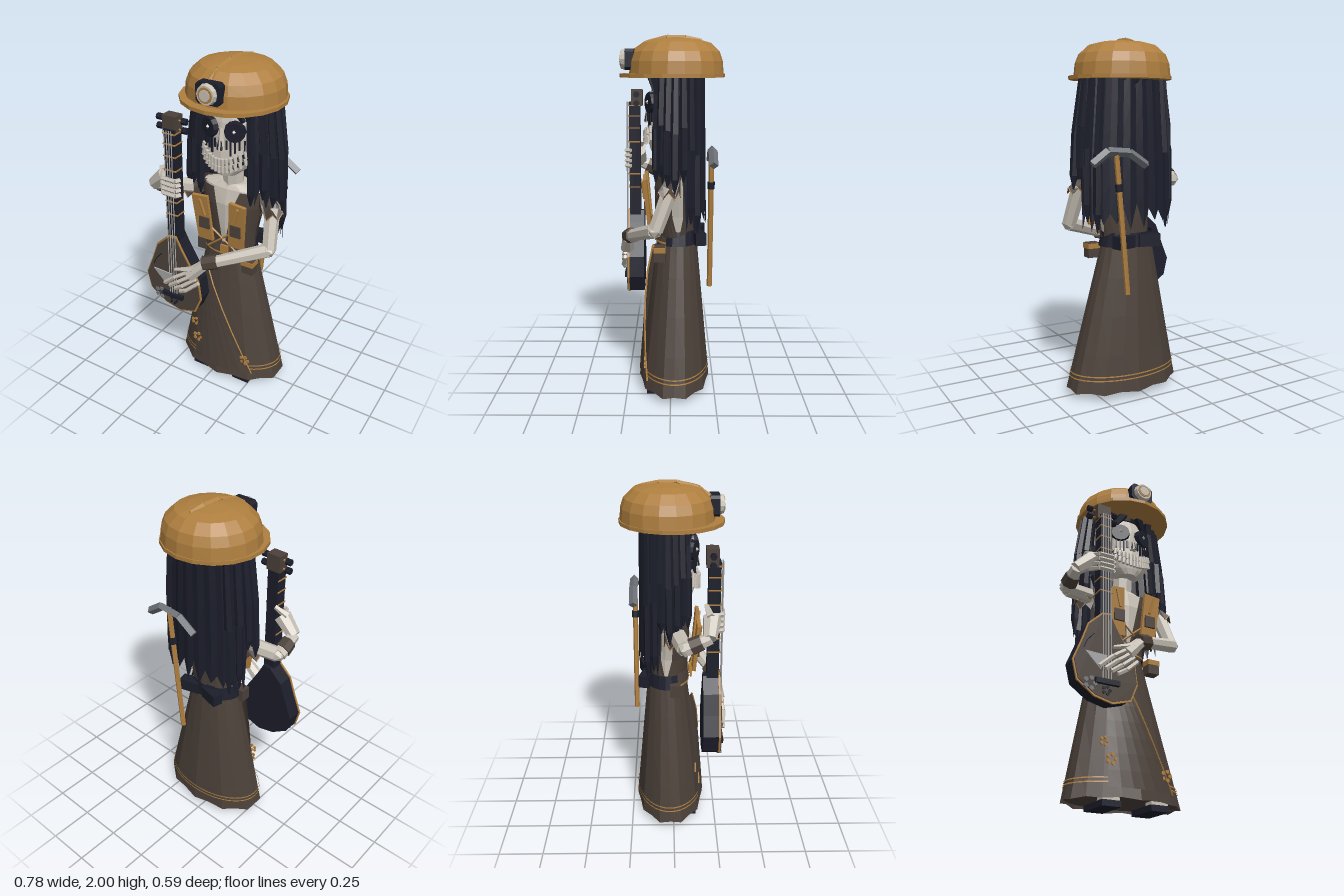
import * as THREE from 'three';

const mat = (name, color, side = THREE.FrontSide) => {
  const m = new THREE.MeshStandardMaterial({ color, side, flatShading: true });
  m.name = name;
  return m;
};
const V = (x, y, z) => new THREE.Vector3(x, y, z);
const lerp = THREE.MathUtils.lerp;
const CX = 0.055; // head axis

export function createModel() {
  const M = {
    ochre: mat('ochre', 0xaf7f3f, THREE.DoubleSide),
    brown: mat('brown cloth', 0x4c413a, THREE.DoubleSide),
    navy: mat('dark navy', 0x1c1e2b, THREE.DoubleSide),
    bone: mat('bone', 0xc8c1b6),
    metal: mat('grey metal', 0x71757a),
    string: mat('string grey', 0xa3a3a3),
  };
  const model = new THREE.Group();
  const add = (name, geo, m, pos = [0, 0, 0], rot = [0, 0, 0]) => {
    const mesh = new THREE.Mesh(geo, m);
    mesh.name = name;
    mesh.position.set(...pos);
    mesh.rotation.set(...rot);
    model.add(mesh);
    return mesh;
  };
  const box = (name, m, size, pos, rot) => add(name, new THREE.BoxGeometry(...size), m, pos, rot);
  // tapered bar between two points
  const limb = (name, m, a, b, r1, r2 = r1, sides = 7) => {
    const d = b.clone().sub(a);
    const mesh = add(name, new THREE.CylinderGeometry(r2, r1, d.length(), sides), m);
    mesh.position.copy(a).add(b).multiplyScalar(0.5);
    mesh.quaternion.setFromUnitVectors(V(0, 1, 0), d.normalize());
    return mesh;
  };
  const chain = (name, m, pts, r, sides = 4) => {
    for (let i = 1; i < pts.length; i++) limb(name, m, pts[i - 1], pts[i], r, r, sides);
  };
  // surface from a rule f(u, v)
  const sheet = (name, m, nu, nv, f) => {
    const p = [], idx = [];
    for (let j = 0; j <= nv; j++) for (let i = 0; i <= nu; i++) p.push(...f(i / nu, j / nv).toArray());
    for (let j = 0; j < nv; j++) for (let i = 0; i < nu; i++) {
      const a = j * (nu + 1) + i, b = a + nu + 1;
      idx.push(a, a + 1, b, b, a + 1, b + 1);
    }
    let g = new THREE.BufferGeometry();
    g.setAttribute('position', new THREE.Float32BufferAttribute(p, 3));
    g.setIndex(idx);
    g = g.toNonIndexed();
    g.computeVertexNormals();
    return add(name, g, m);
  };
  // closed body from elliptical rings [y, cx, cz, rx, rz], bottom to top
  const body = (name, m, rings, n) => {
    const first = rings[0], last = rings[rings.length - 1];
    const all = [[first[0], first[1], first[2], 0, 0], ...rings, [last[0], last[1], last[2], 0, 0]];
    return sheet(name, m, n, all.length - 1, (u, v) => {
      const [y, cx, cz, rx, rz] = all[Math.round(v * (all.length - 1))], t = u * Math.PI * 2;
      return V(cx + rx * Math.sin(t), y, cz + rz * Math.cos(t));
    });
  };
  const plate = (name, m, pts, depth, z) => {
    const s = new THREE.Shape(pts.map(([x, y]) => new THREE.Vector2(x, y)));
    return add(name, new THREE.ExtrudeGeometry(s, { depth, bevelEnabled: false }), m, [0, 0, z]);
  };
  const flower = (m, x, y, z, r) => {
    for (let i = 0; i < 5; i++) {
      const t = i * Math.PI * 0.4 + 0.3;
      add('flowerPetal', new THREE.CylinderGeometry(r * 0.5, r * 0.5, 0.008, 5), m,
        [x + r * Math.sin(t), y + r * Math.cos(t), z], [Math.PI / 2, 0, 0]);
    }
  };

  // Helmet with brim, ridge and lamp; the dome sits towards the back
  body('helmetBrim', M.ochre, [[1.775, CX, -0.007, 0.287, 0.287], [1.795, CX, -0.007, 0.287, 0.287]], 18);
  body('helmetDome', M.ochre, [[1.785, CX, -0.03, 0.272, 0.258], [1.86, CX, -0.03, 0.264, 0.252], [1.91, CX, -0.03, 0.243, 0.235],
    [1.957, CX, -0.03, 0.19, 0.185], [1.975, CX, -0.03, 0.12, 0.12], [1.985, CX, -0.03, 0.03, 0.03]], 18);
  chain('helmetRidge', M.ochre, [V(0.03, 1.915, 0.195), V(0.04, 1.957, 0.13), V(0.05, 1.985, 0.02), V(0.06, 1.982, -0.08), V(0.07, 1.964, -0.165)], 0.014);
  const facing = [Math.PI / 2, 0, 0];
  const lampShape = [[-0.07, -0.04], [-0.055, -0.056], [0.055, -0.056], [0.07, -0.04], [0.07, 0.04], [0.055, 0.056], [-0.055, 0.056], [-0.07, 0.04]];
  plate('lampHousing', M.navy, lampShape.map(([x, y]) => [x + CX, y + 1.87]), 0.05, 0.197);
  add('lampRim', new THREE.CylinderGeometry(0.05, 0.056, 0.024, 12), M.bone, [CX, 1.87, 0.259], facing);
  add('lampRing', new THREE.CylinderGeometry(0.041, 0.041, 0.006, 12), M.ochre, [CX, 1.87, 0.271], facing);
  add('lampLens', new THREE.CylinderGeometry(0.03, 0.03, 0.008, 10), M.bone, [CX, 1.87, 0.274], facing);

  // Skull and neck
  body('skull', M.bone, [[1.375, CX, 0.05, 0.06, 0.06], [1.41, CX, 0.02, 0.105, 0.1], [1.47, CX, 0, 0.15, 0.128],
    [1.54, CX, -0.01, 0.155, 0.13], [1.6, CX, -0.01, 0.168, 0.135], [1.68, CX, -0.02, 0.165, 0.135], [1.77, CX, -0.03, 0.14, 0.12]], 18);
  body('neck', M.bone, [[1.2, CX, -0.02, 0.08, 0.07], [1.3, CX, -0.01, 0.06, 0.058], [1.42, CX, 0, 0.06, 0.058]], 8);
  const faceZ = dx => -0.005 + 0.132 * Math.sqrt(Math.max(0, 1 - (dx / 0.158) ** 2));
  for (const s of [-1, 1]) {
    add('eyeSocket', new THREE.CylinderGeometry(0.054, 0.058, 0.03, 12), M.navy, [CX + s * 0.075, 1.64, 0.109], [Math.PI / 2, 0, -s * 0.4]);
    add('eyeGlint', new THREE.OctahedronGeometry(0.012), M.bone, [CX + s * 0.079, 1.645, 0.126]);
    for (let i = 0; i < 5; i++) {
      const dx = s * (0.035 + i * 0.021), h = 0.05 + 0.035 * ((i * 2) % 3) / 2;
      box('eyeDrip', M.navy, [0.009, h, 0.008], [CX + dx, 1.59 - h / 2, faceZ(dx) + 0.001], [0, s * 0.4, 0]);
    }
    limb('nostril', M.navy, V(CX + s * 0.011, 1.535, 0.138), V(CX + s * 0.007, 1.585, 0.134), 0.008, 0.003, 5);
  }
  limb('noseBridge', M.bone, V(CX, 1.53, 0.128), V(CX, 1.65, 0.118), 0.022, 0.012, 4);
  // grin: dark band and two rows of teeth
  const grin = (dx, y) => y + 3 * dx * dx;
  sheet('mouth', M.navy, 12, 1, (u, v) => {
    const dx = lerp(-0.138, 0.138, u);
    return V(CX + dx, grin(dx, lerp(1.416, 1.478, v)), faceZ(dx) + 0.01);
  });
  for (const [y, h] of [[1.467, 0.038], [1.427, 0.036]]) for (let i = -6; i <= 6; i++) {
    const dx = i * 0.0215;
    add('tooth', new THREE.CylinderGeometry(0.0112, 0.01, h, 6), M.bone, [CX + dx, grin(dx, y), faceZ(dx) + 0.016], [0, 0, dx * 2]);
  }

  // Hair: curtain round the back with a ragged hem, plus loose locks at the sides
  const hairAt = (t, v, swell) => {
    const a = lerp(0.24, 0.283, Math.min(1, v * 1.6)) + swell, b = lerp(0.135, 0.15, v) + swell;
    return [CX + a * Math.cos(t), -0.045 + b * Math.sin(t)];
  };
  const hem = (t, i) => (Math.sin(t) > -0.15 ? 1.22 : 0.98) + (i % 2 ? 0.1 : 0) + 0.025 * Math.sin(i * 2.3);
  const t0 = 0.9, t1 = -Math.PI - 0.9, cols = 34;
  sheet('hairCurtain', M.navy, cols, 5, (u, v) => {
    const i = Math.round(u * cols), t = lerp(t0, t1, u);
    const [x, z] = hairAt(t, v, i % 2 ? -0.004 : 0.005);
    return V(x, lerp(1.8, hem(t, i), v), z);
  });
  for (const side of [0, 1]) for (let i = 0; i < 7; i++) {
    const a = lerp(0.98, -0.7, i / 6), t = side ? Math.PI - a : a, low = hem(t, 0) + 0.04 * Math.sin(i * 1.7);
    const pts = [0, 0.5, 0.88, 1].map(v => {
      const [x, z] = hairAt(t, v, i === 3 ? 0.002 + v * 0.018 : 0.002);
      return V(x, lerp(1.8, low, v), z);
    });
    [0.02, 0.025, 0.023, 0.004].forEach((r, k, rs) => k && limb('hairLock', M.navy, pts[k - 1], pts[k], rs[k - 1], r, 5));
  }
  body('scalp', M.navy, [[1.73, CX, -0.06, 0.2, 0.1], [1.755, CX, -0.04, 0.21, 0.142], [1.79, CX, -0.04, 0.22, 0.15]], 12);
  for (const s of [-1, 1]) for (let i = 0; i < 2; i++)
    limb('fringe', M.navy, V(CX + s * (0.05 + i * 0.08), 1.79, 0.1 - i * 0.02), V(CX + s * (0.11 + i * 0.05), 1.69 - i * 0.12, 0.08 - i * 0.04), 0.035, 0.012, 5);

  // Torso, bodice open at the front and under the arms, harness
  const torso = [[0.88, 0.04, -0.03, 0.13, 0.09], [1.02, 0.05, -0.025, 0.14, 0.1], [1.18, CX, -0.02, 0.175, 0.1], [1.27, CX, -0.02, 0.19, 0.08], [1.3, CX, -0.02, 0.09, 0.06]];
  body('chest', M.bone, torso, 14);
  const bodice = (name, from, to) => sheet(name, M.brown, 8, 3, (u, v) => {
    const [y, cx, cz, rx, rz] = torso[Math.round(v * 3)], t = lerp(from(v), to(v), u);
    return V(cx + (rx + 0.014) * Math.sin(t), y, cz + (rz + 0.014) * Math.cos(t));
  });
  const sideGap = v => Math.min(0.3, v * 0.8);
  bodice('bodiceLeftFront', v => v * 0.42, v => 1.7 - sideGap(v));
  bodice('bodiceRightFront', v => sideGap(v) - 1.7, v => -v * 0.42);
  bodice('bodiceBack', v => 1.7 + sideGap(v), v => Math.PI * 2 - 1.7 - sideGap(v));
  for (const s of [-1, 1]) {
    const px = (d, y) => [CX - 0.005 + s * d, y];
    const strap = plate('harnessStrap', M.ochre, [px(0.07, 1.25), px(0.17, 1.24), px(0.145, 0.96), px(0.05, 0.96)], 0.02, 0.02);
    strap.rotation.x = 0.09;
    box('harnessPatch', M.brown, [0.065, 0.07, 0.012], [CX + s * 0.1, 1.07, 0.14]);
    limb('harnessStrip', M.ochre, V(CX + s * 0.122, 1.22, 0.155), V(CX + s * 0.095, 1.12, 0.146), 0.01, 0.01, 4);
    limb('lace', M.ochre, V(CX + s * 0.1, 0.9, 0.1), V(CX - s * 0.08, 1.05, 0.12), 0.006, 0.006, 4);
    // ragged sleeve with trimmed hem
    const sleeveAt = (u, v, out) => {
      const t = u * Math.PI * 2, k = Math.round(u * 12) % 2, r = lerp(0.035, 0.062, v) + out;
      return V(CX + s * (lerp(0.18, 0.255, v) + r * Math.sin(t)), lerp(1.275, 1.15 + k * 0.04, v), lerp(-0.02, 0.01, v) + r * Math.cos(t));
    };
    sheet('sleeve', M.brown, 12, 2, (u, v) => sleeveAt(u, v, 0));
    sheet('sleeveTrim', M.ochre, 12, 1, (u, v) => sleeveAt(u, 0.96 + v * 0.04, 0.003));
  }

  // Skirt with flap, hem bands and flowers
  const skirtRing = y => {
    const k = (0.88 - y) / 0.84;
    return [0.03 + 0.025 * k, -0.035 + 0.015 * k, 0.15 + 0.19 * k, 0.112 + 0.088 * k];
  };
  const flapZ = (x, y) => {
    const [cx, cz, rx, rz] = skirtRing(y);
    return cz + rz * Math.sqrt(Math.max(0, 1 - ((x - cx) / rx) ** 2)) + lerp(0.01, 0.04, (y - 0.09) / 0.71);
  };
  const onSkirt = (u, y, out) => {
    const [cx, cz, rx, rz] = skirtRing(y), t = u * Math.PI * 2;
    return V(cx + (rx + out) * Math.sin(t), y, cz + (rz + out) * Math.cos(t));
  };
  sheet('skirt', M.brown, 20, 4, (u, v) => {
    const k = Math.round(u * 20) % 2;
    return onSkirt(u, lerp(0.035 + k * 0.01, 0.9, v), (k ? -0.006 : 0.004) * (1 - v));
  });
  sheet('skirtLining', M.brown, 20, 1, (u, v) => (v ? V(0.055, 0.06, -0.02) : onSkirt(u, 0.055, -0.006)));
  for (const y of [0.118, 0.14]) sheet('hemBand', M.ochre, 40, 1, (u, v) => onSkirt(u, y + (v - 0.5) * 0.007, 0.008));
  const edge = v => { const y = lerp(0.09, 0.8, v), x = lerp(0.275, -0.06, v); return V(x, y, flapZ(x, y)); };
  sheet('skirtFlap', M.brown, 6, 8, (u, v) => {
    const e = edge(v), x = lerp(lerp(-0.12, -0.1, v), e.x, u);
    return V(x, e.y, flapZ(x, e.y));
  });
  chain('flapTrim', M.ochre, [0, 0.2, 0.4, 0.6, 0.8, 1].map(edge), 0.005);
  for (const [x, y, r] of [[-0.13, 0.33, 0.02], [-0.1, 0.235, 0.024], [0.23, 0.185, 0.024]]) flower(M.ochre, x, y, flapZ(x, y) + 0.005, r);

  // Waistband in front, belt round the back, pouches, packs, feet
  sheet('belt', M.navy, 14, 1, (u, v) => onSkirt(lerp(0.17, 0.83, u), lerp(0.855, 0.935, v), 0.014));
  sheet('waistband', M.brown, 8, 1, (u, v) => onSkirt(lerp(-0.17, 0.17, u), lerp(0.87, 0.94, v), 0.012));
  sheet('waistbandTrim', M.ochre, 8, 1, (u, v) => onSkirt(lerp(-0.17, 0.17, u), lerp(0.865, 0.875, v), 0.015));
  box('buckle', M.ochre, [0.05, 0.05, 0.012], [0.06, 0.905, 0.098]);
  box('pouch', M.brown, [0.07, 0.085, 0.06], [0.205, 0.82, 0.06]);
  box('pouchFlap', M.ochre, [0.075, 0.03, 0.066], [0.205, 0.845, 0.062]);
  box('sidePouch', M.brown, [0.06, 0.075, 0.06], [-0.13, 0.855, 0.01]);
  for (const s of [-1, 1]) box('beltPack', M.navy, [0.12, 0.07, 0.06], [0.035 + s * 0.08, 0.89, -0.155], [0, s * 0.25, 0]);
  for (const x of [-0.09, 0.195]) {
    box('sole', M.navy, [0.11, 0.032, 0.2], [x, 0.016, 0.035]);
    box('toe', M.bone, [0.1, 0.028, 0.06], [x, 0.036, 0.1]);
  }

  // Left arm, strumming
  limb('leftUpperArm', M.bone, V(0.305, 1.2, 0), V(0.335, 0.98, 0.08), 0.045, 0.04);
  add('leftElbow', new THREE.IcosahedronGeometry(0.042), M.bone, [0.335, 0.98, 0.085]);
  limb('leftForearm', M.bone, V(0.335, 0.98, 0.085), V(0.07, 0.89, 0.225), 0.041, 0.034);
  limb('leftCuff', M.brown, V(0.085, 0.895, 0.215), V(0.01, 0.872, 0.247), 0.046, 0.042);
  limb('leftPalm', M.bone, V(0.02, 0.865, 0.248), V(-0.07, 0.775, 0.257), 0.032, 0.042);
  for (let i = 0; i < 4; i++)
    chain('leftFinger', M.bone, [V(-0.07 + i * 0.02, 0.80 - i * 0.02, 0.268), V(-0.16 + i * 0.025, 0.74 - i * 0.022, 0.284), V(-0.24 + i * 0.036, 0.67 - i * 0.008, 0.276)], 0.013, 5);
  limb('leftThumb', M.bone, V(-0.03, 0.83, 0.265), V(-0.16, 0.79, 0.278), 0.02, 0.01, 5);

  // Right arm, fretting
  limb('rightUpperArm', M.bone, V(-0.18, 1.21, 0.02), V(-0.335, 1.2, 0.055), 0.046, 0.044);
  add('rightElbow', new THREE.IcosahedronGeometry(0.046), M.bone, [-0.335, 1.2, 0.06]);
  limb('rightForearm', M.bone, V(-0.342, 1.2, 0.06), V(-0.342, 1.26, 0.19), 0.042, 0.034);
  limb('rightCuff', M.brown, V(-0.342, 1.213, 0.088), V(-0.342, 1.239, 0.145), 0.048, 0.044);
  limb('rightPalm', M.bone, V(-0.345, 1.26, 0.185), V(-0.25, 1.34, 0.2), 0.038, 0.05);
  for (let i = 0; i < 4; i++) {
    const y = 1.26 + i * 0.03;
    chain('rightFinger', M.bone, [V(-0.27, y + 0.01, 0.2), V(-0.235, y, 0.258), V(-0.15, y, 0.262), V(-0.135, y, 0.235)], 0.013, 5);
  }
  limb('rightThumb', M.bone, V(-0.29, 1.36, 0.19), V(-0.22, 1.4, 0.17), 0.022, 0.013, 5);

  // Lute: body, soundboard, rim, neck, strings
  const outline = [[-0.165, 0.99], [-0.215, 0.985], [-0.295, 0.91], [-0.335, 0.8], [-0.38, 0.69], [-0.355, 0.585], [-0.255, 0.515], [-0.15, 0.49], [-0.045, 0.52], [-0.005, 0.615], [-0.02, 0.735], [-0.075, 0.825], [-0.13, 0.92]];
  const scaled = k => outline.map(([x, y]) => [-0.19 + (x + 0.19) * k, 0.72 + (y - 0.72) * k]);
  plate('luteBody', M.navy, scaled(0.99), 0.085, 0.16);
  plate('luteRim', M.ochre, scaled(1.02), 0.01, 0.245);
  plate('soundboard', M.brown, scaled(0.975), 0.006, 0.254);
  box('luteNeck', M.navy, [0.07, 0.72, 0.065], [-0.188, 1.27, 0.213]);
  box('luteHead', M.brown, [0.085, 0.095, 0.065], [-0.195, 1.655, 0.2]);
  for (const y of [1.13, 1.21, 1.4, 1.48, 1.55, 1.61]) box('fret', M.ochre, [0.078, 0.007, 0.07], [-0.188, y, 0.216]);
  for (const s of [-1, 1]) for (const y of [1.625, 1.675]) {
    limb('pegPost', M.ochre, V(-0.195, y, 0.2), V(-0.195 + s * 0.07, y, 0.2), 0.006, 0.006, 5);
    add('tuningPeg', new THREE.CylinderGeometry(0.018, 0.018, 0.03, 6), M.navy, [-0.195 + s * 0.078, y, 0.2], [0, 0, Math.PI / 2]);
  }
  for (let i = 0; i < 4; i++) limb('string', M.string, V(-0.212 + i * 0.016, 0.6, 0.266), V(-0.212 + i * 0.015, 1.63, 0.256), 0.0035, 0.0035, 4);
  box('bridge', M.navy, [0.14, 0.028, 0.025], [-0.19, 0.593, 0.268]);
  plate('pick', M.string, [[-0.32, 0.745], [-0.19, 0.74], [-0.23, 0.655]], 0.008, 0.264);
  chain('soundSlot', M.navy, [V(-0.325, 0.765, 0.257), V(-0.305, 0.81, 0.257), V(-0.265, 0.855, 0.257)], 0.006);
  flower(M.metal, -0.285, 0.575, 0.262, 0.028);
  flower(M.navy, -0.19, 0.55, 0.262, 0.02);

  // Pickaxe on the back
  limb('pickaxeHandle', M.ochre, V(0.13, 0.61, -0.22), V(0.2, 1.4, -0.22), 0.015, 0.015, 6);
  limb('pickaxeBinding', M.navy, V(0.18, 1.18, -0.22), V(0.185, 1.22, -0.22), 0.02, 0.02, 6);
  chain('pickaxeHead', M.metal, [V(0.015, 1.315, -0.225), V(0.12, 1.385, -0.225), V(0.25, 1.395, -0.225), V(0.342, 1.33, -0.225)], 0.024);
  return model;
}
